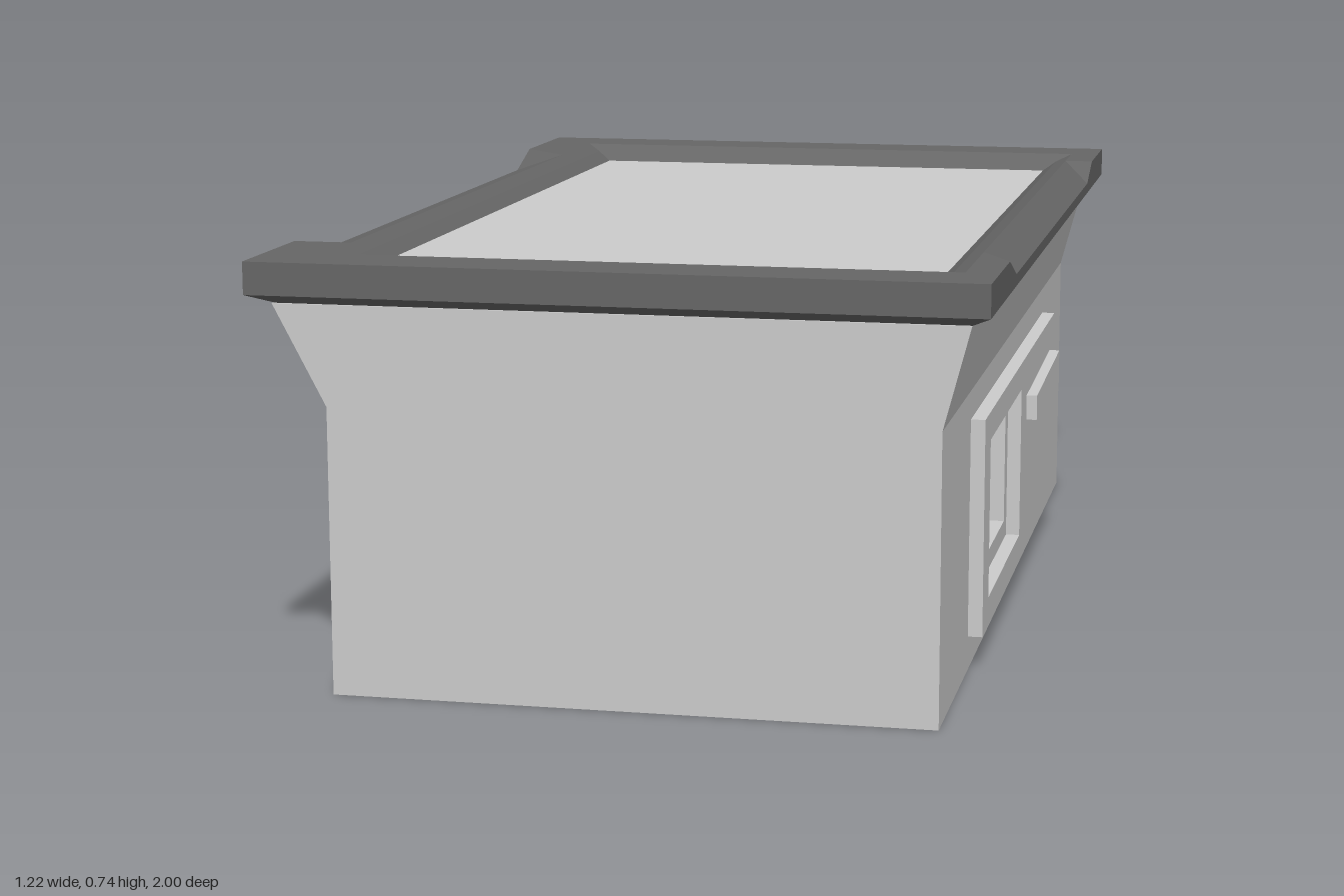
import * as THREE from 'three';

const grey = new THREE.MeshStandardMaterial({ color: 0xcccccc });
const dark = new THREE.MeshStandardMaterial({ color: 0x666666 });

function mesh(name, geometry, material = grey) {
  const m = new THREE.Mesh(geometry, material);
  m.name = name;
  return m;
}

function polygon(points) {
  return new THREE.Shape(points.map(([x, y]) => new THREE.Vector2(x, y)));
}

function rect(x0, x1, y0, y1) {
  return [[x0, y0], [x1, y0], [x1, y1], [x0, y1]];
}

function box(x0, x1, y0, y1, z0, z1) {
  return new THREE.BoxGeometry(x1 - x0, y1 - y0, z1 - z0)
    .translate((x0 + x1) / 2, (y0 + y1) / 2, (z0 + z1) / 2);
}

// Plate facing +x, outlined in (-z, y), optionally pierced
function sidePlate(outline, hole, x0, x1) {
  const shape = polygon(outline);
  if (hole) shape.holes.push(polygon(hole));
  return new THREE.ExtrudeGeometry(shape, { depth: x1 - x0, bevelEnabled: false })
    .rotateY(Math.PI / 2).translate(x0, 0, 0);
}

// Closed loop around the table; the long sides carry extra points for the dip
function rimLoop({ left, right, end, y, dip = 0 }) {
  const stations = [[-end, 0], [-0.75, 0], [-0.65, dip], [0.65, dip], [0.75, 0], [end, 0]];
  return [
    ...stations.map(([z, d]) => [right, y - d, z]),
    ...stations.reverse().map(([z, d]) => [left, y - d, z]),
  ];
}

function skin(loops) {
  const pos = [];
  for (let k = 0; k < loops.length - 1; k++) {
    const a = loops[k], b = loops[k + 1], n = a.length;
    for (let i = 0; i < n; i++) {
      const j = (i + 1) % n;
      pos.push(...a[i], ...b[i], ...a[j], ...a[j], ...b[i], ...b[j]);
    }
  }
  const g = new THREE.BufferGeometry();
  g.setAttribute('position', new THREE.Float32BufferAttribute(pos, 3));
  g.computeVertexNormals();
  return g;
}

export function createModel() {
  const table = new THREE.Group();
  table.name = 'gameTable';

  // Cabinet: solid core, pierced side wall and flared upper part
  const cabinet = new THREE.Group();
  cabinet.name = 'cabinet';
  const hole = rect(-0.47, -0.07, 0.145, 0.36);
  const flare = polygon([[-0.49, 0.49], [0.53, 0.49], [0.575, 0.66], [-0.58, 0.66]]);
  cabinet.add(
    mesh('cabinetCore', box(-0.49, 0.38, 0, 0.49, -0.95, 0.95)),
    mesh('cabinetSideWall', sidePlate(rect(-0.95, 0.95, 0, 0.49), hole, 0.38, 0.53)),
    mesh('cabinetFlare', new THREE.ExtrudeGeometry(flare, { depth: 1.9, bevelEnabled: false })
      .translate(0, 0, -0.95)),
  );
  table.add(cabinet);

  // Side panel with a stepped ball-return opening and a raised bar
  table.add(
    mesh('sidePanel', sidePlate(rect(-0.59, 0.57, 0.06, 0.44),
      rect(-0.51, -0.03, 0.11, 0.39), 0.53, 0.555)),
    mesh('panelBar', sidePlate([[0.06, 0.315], [0.485, 0.303], [0.485, 0.377], [0.06, 0.362]],
      null, 0.555, 0.575)),
  );

  // Rim: chamfer below, outer band, top and inner bevel
  const rim = skin([
    { left: -0.575, right: 0.575, end: 0.945, y: 0.66 },
    { left: -0.61, right: 0.61, end: 1, y: 0.68 },
    { left: -0.61, right: 0.61, end: 1, y: 0.735, dip: 0.035 },
    { left: -0.51, right: 0.555, end: 0.885, y: 0.735 },
    { left: -0.48, right: 0.525, end: 0.855, y: 0.722 },
    { left: -0.45, right: 0.5, end: 0.825, y: 0.705 },
  ].map(rimLoop));
  table.add(mesh('rim', rim, dark));

  // Playing surface
  table.add(mesh('playingSurface', box(-0.45, 0.5, 0.66, 0.705, -0.825, 0.825)));
  return table;
}
